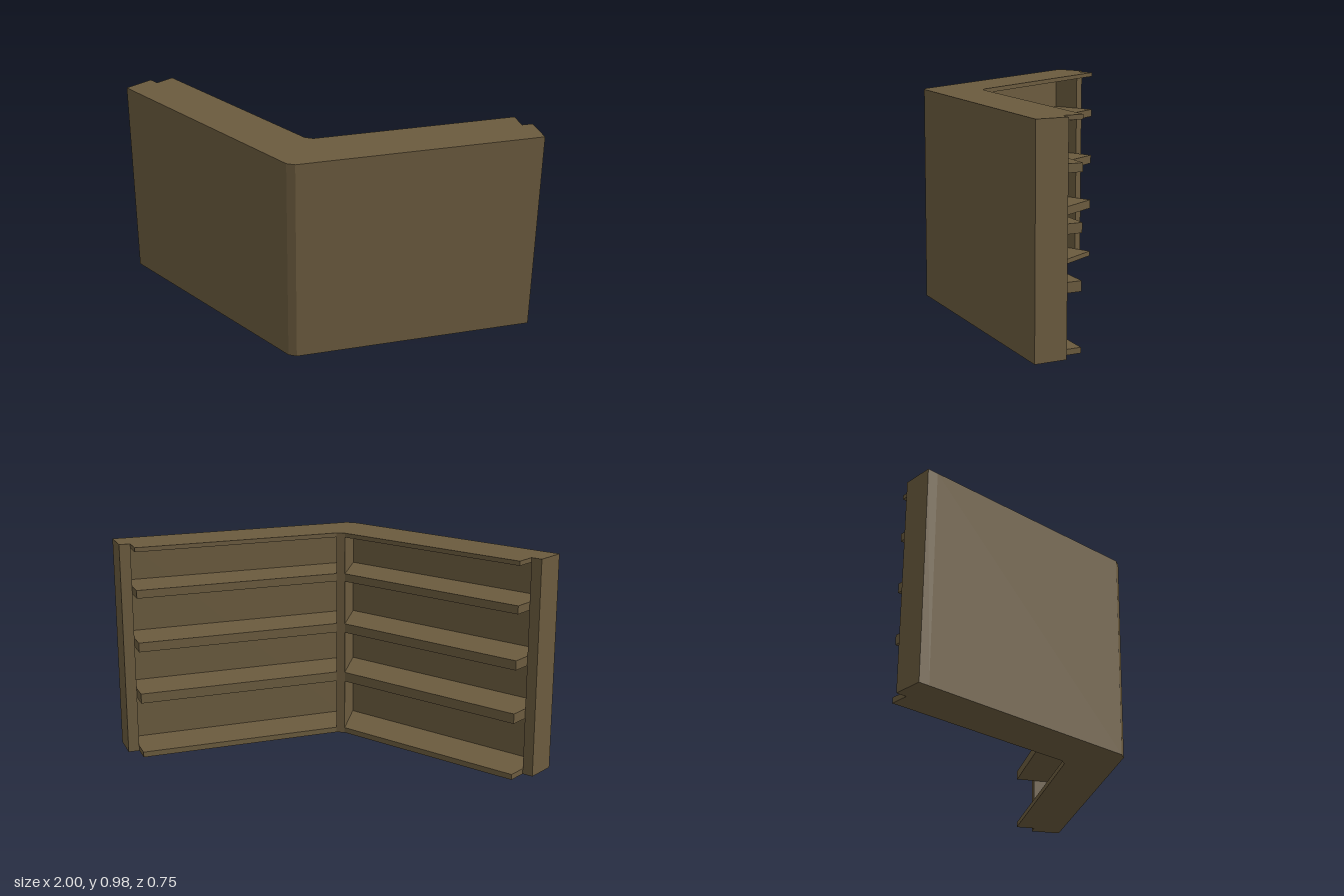
import * as THREE from 'three';

const HEIGHT = 0.98, HALF = 0.02;      // overall height, half width of the spine
const PANEL = 0.015, DEPTH = 0.236;    // front panel thickness, shelf depth
const END_W = 0.05, END_D = 0.144;     // end post width and depth

// Plan frame of the +x wing: s runs along the wing, t runs towards the back
const apex = new THREE.Vector2(HALF, 0.378);
const tip = new THREE.Vector2(1, -0.197);
const length = apex.distanceTo(tip);
const dir = tip.clone().sub(apex).normalize();
const at = (s, t) => [apex.x + dir.x * s + dir.y * t, apex.y + dir.y * s - dir.x * t];
// Point on the spine's side plane at depth t
const spine = (t) => [HALF, apex.y - t / dir.x];
const mirror = (pts) => pts.map(([x, z]) => [-x, z]);

export function createModel() {
  const group = new THREE.Group();
  const material = new THREE.MeshStandardMaterial({ color: 0x6b5b3e, flatShading: true });

  // Extrude a plan outline of (x, z) points from y0 to y1
  function slab(name, pts, y0, y1) {
    const shape = new THREE.Shape(pts.map(([x, z]) => new THREE.Vector2(x, -z)));
    const geo = new THREE.ExtrudeGeometry(shape, { depth: y1 - y0, bevelEnabled: false });
    geo.rotateX(-Math.PI / 2).translate(0, y0, 0);
    const mesh = new THREE.Mesh(geo, material);
    mesh.name = name;
    group.add(mesh);
  }

  // Bent front panel with a blunt apex
  const outer = [at(0, 0), at(length - END_W, 0)];
  const inner = [at(length - END_W, PANEL), spine(PANEL)];
  const half = [...outer, ...inner];
  slab('frontPanel', [...half, ...mirror(half).reverse()], 0, HEIGHT);

  // Central divider between the wings
  const back = spine(DEPTH), front = spine(PANEL);
  slab('centreDivider', [back, front, ...mirror([front, back])], 0, HEIGHT);

  // Shelves and end posts on both wings
  const shelf = [spine(PANEL), at(length - END_W, PANEL), at(length - END_W, DEPTH), back];
  const post = [at(length - END_W, 0), at(length, 0), at(length, END_D), at(length - END_W, END_D)];
  const levels = [[0, 0.025], [0.26, 0.305], [0.502, 0.545], [0.75, 0.787], [0.96, HEIGHT]];
  for (const [side, plan] of [['left', (p) => p], ['right', mirror]]) {
    levels.forEach(([y0, y1], i) => slab(`${side}Shelf${i + 1}`, plan(shelf), y0, y1));
    slab(`${side}EndPost`, plan(post), 0, HEIGHT);
  }
  return group;
}
